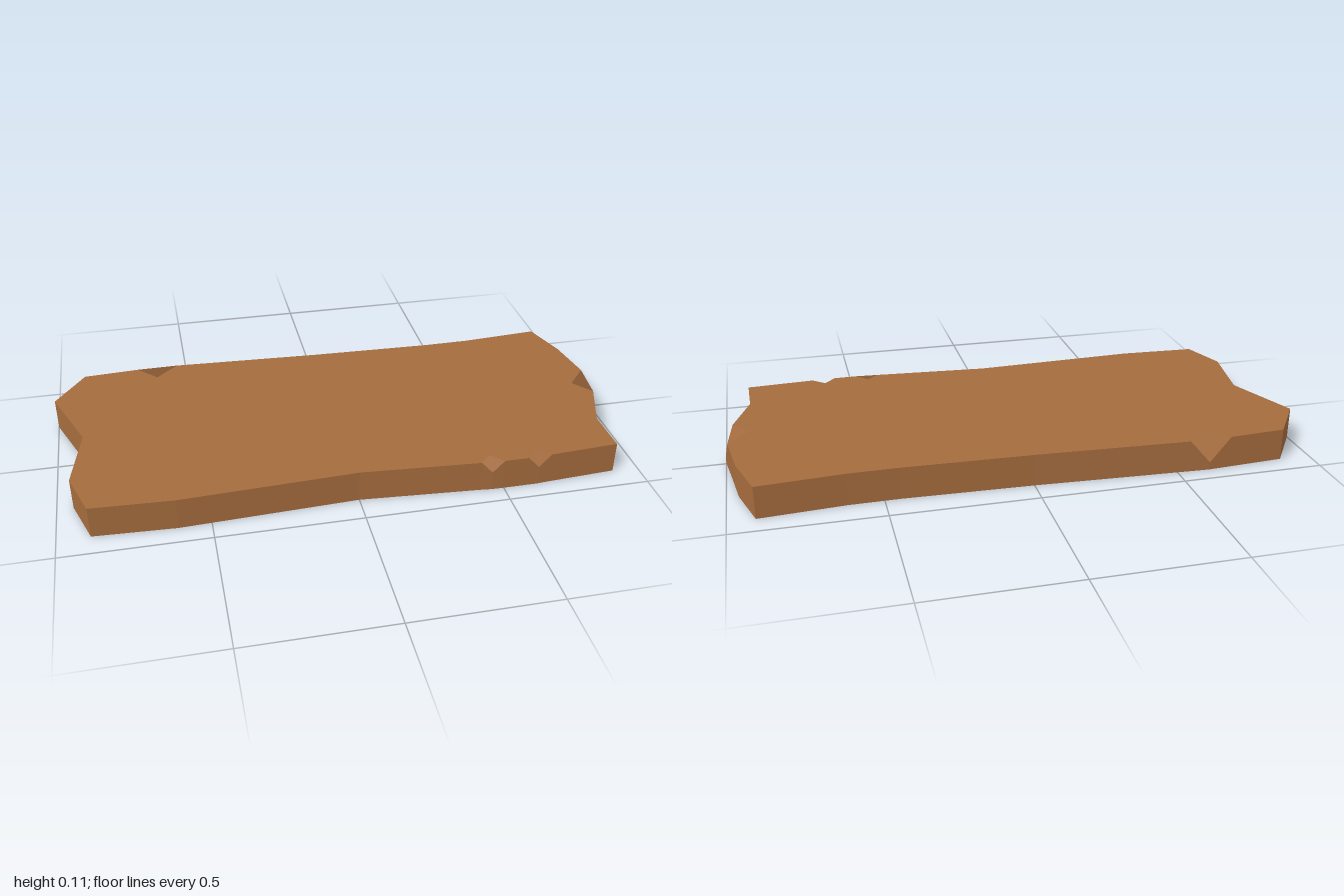
import * as THREE from 'three';

const TOP = 0.113;

// Clockwise outline seen from above: [x, z]. A chip centre adds
// [x, z, depth height, inner x, inner z, open notch?] and sits between its two rim points.
const OUTLINE = [
  [-0.89, -0.42], [-0.69, -0.433],
  [-0.615, -0.438, 0.027, -0.62, -0.36, false],
  [-0.54, -0.435], [0, -0.41], [0.45, -0.398], [0.62, -0.4], [0.91, -0.422],
  [0.96, -0.26], [0.986, -0.085],
  [1, 0, 0.027, 0.912, 0, false],
  [0.968, 0.072], [0.905, 0.25], [0.908, 0.415], [0.665, 0.43],
  [0.62, 0.434, 0.07, 0.62, 0.39, true],
  [0.58, 0.434], [0.495, 0.434],
  [0.455, 0.433, 0.07, 0.455, 0.39, false],
  [0.415, 0.429], [0, 0.4], [-0.61, 0.428], [-0.89, 0.415],
  [-0.945, 0.25], [-0.9, 0], [-1, -0.26],
];

const at = (i) => OUTLINE[(i + OUTLINE.length) % OUTLINE.length];
const height = (p) => (p.length > 2 ? p[2] : TOP);
const rim = (p) => new THREE.Vector3(p[0], height(p), p[1]);

function triangles(points, normal) {
  const geo = new THREE.BufferGeometry().setFromPoints(points);
  if (normal) {
    const n = points.flatMap(() => normal.toArray());
    geo.setAttribute('normal', new THREE.Float32BufferAttribute(n, 3));
  } else {
    geo.computeVertexNormals();
  }
  return geo;
}

export function createModel() {
  const group = new THREE.Group();
  group.name = 'plank';
  const wood = new THREE.MeshStandardMaterial({ color: 0xa56c3e, side: THREE.DoubleSide });
  wood.name = 'brown wood';
  const add = (name, geo) => {
    const mesh = new THREE.Mesh(geo, wood);
    mesh.name = name;
    group.add(mesh);
  };

  // Top face, cut back to the inner point of every chip
  const topPoints = OUTLINE.map((p) =>
    p.length > 2 ? new THREE.Vector2(p[3], -p[4]) : new THREE.Vector2(p[0], -p[1]));
  add('topFace', new THREE.ShapeGeometry(new THREE.Shape(topPoints))
    .rotateX(-Math.PI / 2).translate(0, TOP, 0));

  // Underside keeps the whole outline
  const basePoints = OUTLINE.map((p) => new THREE.Vector2(p[0], p[1]));
  add('underside', new THREE.ShapeGeometry(new THREE.Shape(basePoints)).rotateX(Math.PI / 2));

  // Upright edges, dipping at the chips
  const wall = [];
  OUTLINE.forEach((p, i) => {
    const q = at(i + 1);
    const p0 = new THREE.Vector3(p[0], 0, p[1]);
    const q0 = new THREE.Vector3(q[0], 0, q[1]);
    wall.push(p0, rim(p), rim(q), p0, rim(q), q0);
  });
  add('sideEdges', triangles(wall));

  // Chipped spots: each is a four-cornered facet with one shared normal
  OUTLINE.forEach((p, i) => {
    if (p.length < 3) return;
    const a = rim(at(i - 1)), b = rim(at(i + 1)), d = rim(p);
    const c = new THREE.Vector3(p[3], TOP, p[4]);
    const normal = b.clone().sub(a).cross(d.clone().sub(c)).normalize();
    const corners = p[5] ? [a, c, d, c, b, d] : [a, c, b, a, b, d];
    add('chip', triangles(corners, normal));
  });

  return group;
}
